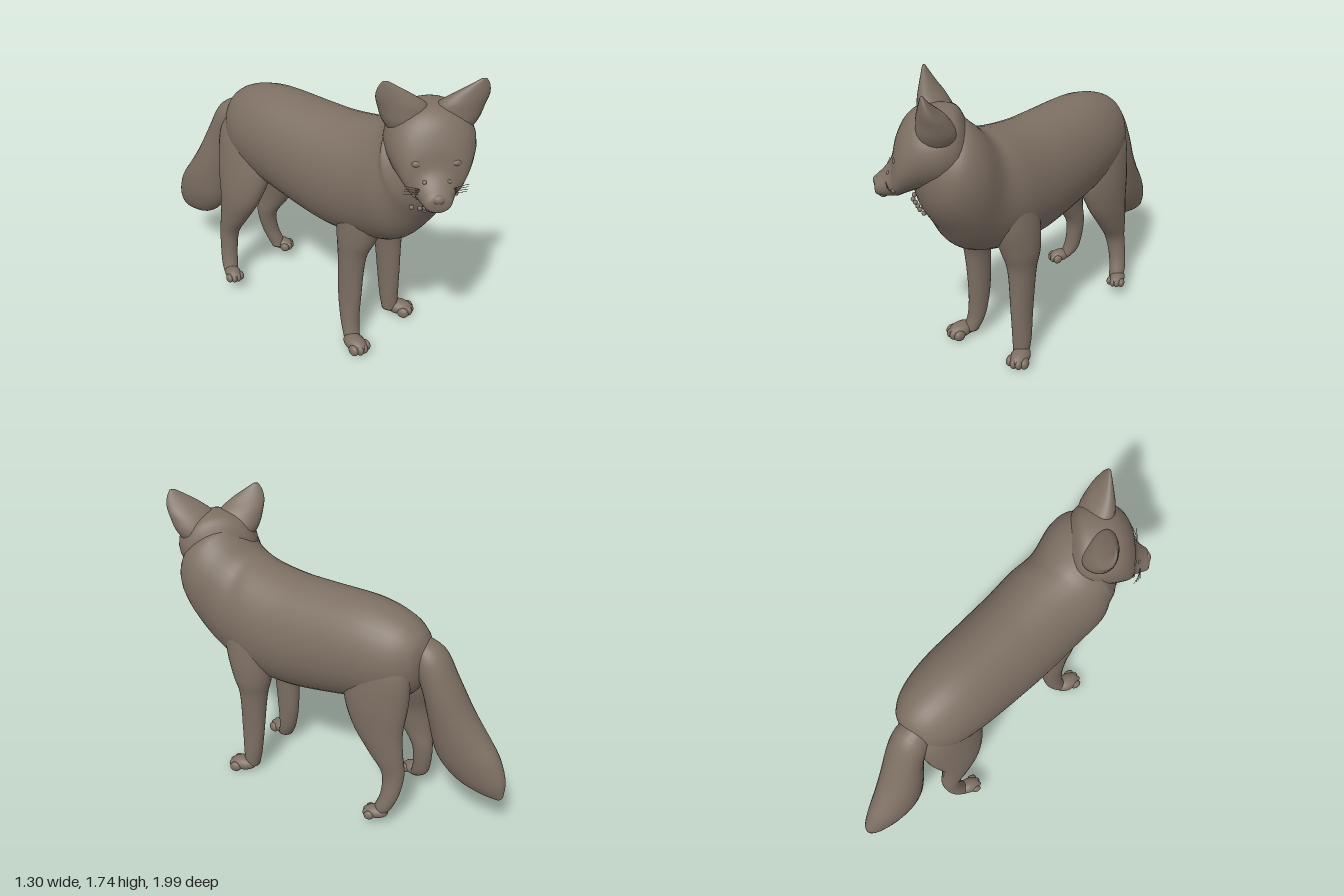
import * as THREE from 'three';

const DEG = Math.PI / 180;
const fur = new THREE.MeshStandardMaterial({ color: 0x7d6f63 });
fur.name = 'brown fur';

// Smooth skin through elliptical rings [x, y, z, halfWidth, halfHeight, yaw, pitch].
// Pitch 0 stacks rings along +z, pitch 90 stacks them upward.
function loft(name, rings, steps = 5, sides = 28) {
  const n = (rings.length - 1) * steps + 1;
  const pos = [], index = [];
  const at = (i, k) => rings[Math.max(0, Math.min(rings.length - 1, i))][k];
  const spline = (i, t, k) => {
    const a = at(i - 1, k), b = at(i, k), c = at(i + 1, k), d = at(i + 2, k);
    return b + 0.5 * t * (c - a + t * (2 * a - 5 * b + 4 * c - d + t * (3 * (b - c) + d - a)));
  };
  const centres = [];
  for (let r = 0; r < n; r++) {
    const i = Math.min(Math.floor(r / steps), rings.length - 2), t = r / steps - i;
    const [x, y, z, w, h, yaw, pitch] = [0, 1, 2, 3, 4, 5, 6].map(k => spline(i, t, k));
    const cy = Math.cos(yaw * DEG), sy = Math.sin(yaw * DEG);
    const cp = Math.cos(pitch * DEG), sp = Math.sin(pitch * DEG);
    centres.push([x, y, z]);
    for (let j = 0; j < sides; j++) {
      const a = j / sides * Math.PI * 2, u = Math.cos(a) * w, v = Math.sin(a) * h;
      pos.push(x + u * cy - v * sp * sy, y + v * cp, z - u * sy - v * sp * cy);
    }
  }
  for (let r = 0; r < n - 1; r++) for (let j = 0; j < sides; j++) {
    const k = (j + 1) % sides, a = r * sides + j, b = r * sides + k;
    index.push(a, b, b + sides, a, b + sides, a + sides);
  }
  // end caps
  pos.push(...centres[0], ...centres[n - 1]);
  const first = n * sides, last = (n - 1) * sides;
  for (let j = 0; j < sides; j++) {
    const k = (j + 1) % sides;
    index.push(first, k, j, first + 1, last + j, last + k);
  }
  const g = new THREE.BufferGeometry();
  g.setAttribute('position', new THREE.Float32BufferAttribute(pos, 3));
  g.setIndex(index);
  g.computeVertexNormals();
  const m = new THREE.Mesh(g, fur);
  m.name = name;
  return m;
}

function ball(name, x, y, z, rx, ry = rx, rz = rx) {
  const m = new THREE.Mesh(new THREE.SphereGeometry(1, 16, 12), fur);
  m.name = name;
  m.position.set(x, y, z);
  m.scale.set(rx, ry, rz);
  return m;
}

function makePaw(name, x, y, z, yaw, size) {
  const paw = new THREE.Group();
  paw.name = name;
  paw.add(ball('pad', 0, 0.045, 0.035, 0.056, 0.045, 0.085));
  for (let i = 0; i < 4; i++) {
    const u = i - 1.5;
    paw.add(ball('toe', u * 0.03, 0.033, 0.1 - Math.abs(u) * 0.015, 0.023, 0.033, 0.036));
  }
  paw.position.set(x, y, z);
  paw.rotation.y = yaw * DEG;
  paw.scale.setScalar(size);
  return paw;
}

// Rings of a leg from the ankle upward: [x, y, z, halfWidth, halfDepth]
const makeLeg = (name, rings) => loft(name, rings.map(r => [...r, 30, 90]));

function makeHead() {
  const head = new THREE.Group();
  head.name = 'head';
  head.add(loft('skull', [
    [0, 1.40, -0.18, 0.12, 0.10], [0, 1.41, -0.13, 0.20, 0.18],
    [0, 1.405, -0.04, 0.235, 0.205], [0, 1.39, 0.06, 0.225, 0.205],
    [0, 1.35, 0.13, 0.195, 0.188], [0, 1.29, 0.18, 0.155, 0.15],
    [0, 1.235, 0.208, 0.11, 0.1], [0, 1.205, 0.25, 0.085, 0.07],
    [0, 1.19, 0.293, 0.062, 0.045], [0, 1.19, 0.302, 0.02, 0.015],
  ].map(r => [...r, 0, 0])));
  head.add(ball('nose', 0, 1.215, 0.285, 0.036, 0.026, 0.024));
  head.add(ball('lowerLip', 0, 1.148, 0.258, 0.055, 0.018, 0.028));
  for (const s of [-1, 1]) {
    // ears, broad where they grow out of the skull
    head.add(loft('ear', [
      [0.08, 1.38, -0.04, 0.07, 0.07], [0.125, 1.5, -0.03, 0.115, 0.1],
      [0.145, 1.59, -0.01, 0.128, 0.078], [0.186, 1.65, 0.01, 0.1, 0.046],
      [0.222, 1.7, 0.022, 0.056, 0.022], [0.242, 1.735, 0.028, 0.016, 0.008],
    ].map(([x, y, z, w, d]) => [s * x, y, z, w, d, s * 8, 90])));
    head.add(ball('eye', s * 0.098, 1.36, 0.177, 0.028, 0.02, 0.02));
    head.add(ball('cheekBead', s * 0.06, 1.278, 0.222, 0.013));
    head.add(ball('cheekBead', s * 0.105, 1.2, 0.2, 0.013));
    // whiskers
    for (let i = 0; i < 4; i++) {
      const curve = new THREE.QuadraticBezierCurve3(
        new THREE.Vector3(s * 0.08, 1.22 + i * 0.008, 0.235),
        new THREE.Vector3(s * 0.12, 1.225 + i * 0.012, 0.235),
        new THREE.Vector3(s * 0.16, 1.205 + i * 0.02, 0.2 + i * 0.01));
      const w = new THREE.Mesh(new THREE.TubeGeometry(curve, 6, 0.0015, 4), fur);
      w.name = 'whisker';
      head.add(w);
    }
  }
  head.position.set(0.37, 0, 0.7);
  head.rotation.y = -14 * DEG;
  return head;
}

export function createModel() {
  const model = new THREE.Group();
  model.name = 'fox';

  // torso: [distance along spine, top, bottom, halfWidth]
  const torso = [
    [-0.67, 1.2, 1.0, 0.06], [-0.63, 1.265, 0.9, 0.14], [-0.52, 1.33, 0.81, 0.21],
    [-0.32, 1.37, 0.76, 0.25], [0, 1.365, 0.69, 0.268], [0.2, 1.365, 0.665, 0.275],
    [0.4, 1.39, 0.68, 0.28],
  ].map(([s, top, bot, w]) =>
    [s * 0.5 + 0.016, (top + bot) / 2, s * 0.866 - 0.009, w, (top - bot) / 2, 30, 0]);
  // chest and neck turn up toward the head
  torso.push(
    [0.295, 1.09, 0.505, 0.275, 0.335, 30, 14], [0.367, 1.215, 0.6, 0.275, 0.295, 19, 20],
    [0.378, 1.3, 0.665, 0.26, 0.262, 6, 25], [0.37, 1.36, 0.73, 0.18, 0.18, -6, 28]);
  model.add(loft('bodyAndNeck', torso, 6, 36));
  model.add(makeHead());

  // beads on the throat
  for (const [x, y, z] of [[0.25, 1.075, 0.785], [0.29, 1.07, 0.8], [0.32, 1.065, 0.795],
    [0.325, 1.045, 0.785], [0.38, 1.05, 0.785], [0.38, 1.025, 0.765]])
    model.add(ball('throatBead', x, y, z, 0.013));

  // front legs, shoulders sinking into the chest
  model.add(makeLeg('rightFrontLeg', [
    [0.07, 0.04, 0.46, 0.047, 0.047], [0.07, 0.14, 0.42, 0.053, 0.057],
    [0.072, 0.32, 0.4, 0.056, 0.075], [0.079, 0.58, 0.405, 0.07, 0.088],
    [0.105, 0.72, 0.41, 0.1, 0.125], [0.135, 0.9, 0.41, 0.115, 0.155], [0.165, 1.08, 0.38, 0.1, 0.15],
    [0.21, 1.22, 0.36, 0.05, 0.08],
  ]));
  model.add(makeLeg('leftFrontLeg', [
    [0.395, 0.04, 0.25, 0.047, 0.047], [0.39, 0.14, 0.242, 0.053, 0.06],
    [0.381, 0.32, 0.238, 0.056, 0.075], [0.371, 0.58, 0.232, 0.076, 0.09],
    [0.37, 0.72, 0.24, 0.105, 0.125], [0.367, 0.9, 0.265, 0.115, 0.155], [0.35, 1.08, 0.275, 0.1, 0.15],
    [0.3, 1.22, 0.3, 0.05, 0.08],
  ]));
  model.add(makePaw('rightFrontPaw', 0.056, 0, 0.485, 18, 1));
  model.add(makePaw('leftFrontPaw', 0.42, 0, 0.25, 50, 1));

  // hind legs with raised heels
  model.add(makeLeg('rightHindLeg', [
    [-0.465, 0.1, -0.35, 0.042, 0.042], [-0.46, 0.15, -0.39, 0.049, 0.052],
    [-0.455, 0.24, -0.413, 0.051, 0.056], [-0.445, 0.37, -0.415, 0.056, 0.066],
    [-0.42, 0.5, -0.37, 0.068, 0.1], [-0.385, 0.66, -0.33, 0.088, 0.15],
    [-0.345, 0.85, -0.35, 0.11, 0.2], [-0.32, 1.06, -0.385, 0.095, 0.19], [-0.285, 1.22, -0.4, 0.04, 0.1],
  ]));
  model.add(makeLeg('leftHindLeg', [
    [-0.085, 0.1, -0.56, 0.042, 0.042], [-0.1, 0.15, -0.577, 0.049, 0.052],
    [-0.132, 0.24, -0.588, 0.051, 0.056], [-0.152, 0.37, -0.575, 0.056, 0.07],
    [-0.12, 0.5, -0.535, 0.068, 0.11], [-0.09, 0.66, -0.48, 0.088, 0.16],
    [-0.092, 0.85, -0.45, 0.11, 0.2], [-0.11, 1.06, -0.46, 0.095, 0.175], [-0.14, 1.22, -0.455, 0.04, 0.1],
  ]));
  model.add(makePaw('rightHindPaw', -0.465, 0.07, -0.345, 8, 0.85));
  model.add(makePaw('leftHindPaw', -0.082, 0.07, -0.58, 50, 0.85));

  // bushy tail, from tip to root
  model.add(loft('tail', [
    [-0.622, 0.31, -0.975, 0.012, 0.02, 30, 45], [-0.598, 0.37, -0.925, 0.055, 0.095, 30, 45],
    [-0.55, 0.457, -0.833, 0.095, 0.16, 30, 48], [-0.495, 0.578, -0.745, 0.12, 0.172, 30, 55],
    [-0.442, 0.76, -0.685, 0.125, 0.135, 30, 62], [-0.39, 0.95, -0.638, 0.115, 0.108, 30, 58],
    [-0.345, 1.1, -0.575, 0.105, 0.1, 30, 45], [-0.28, 1.17, -0.48, 0.07, 0.07, 30, 25],
  ]));

  return model;
}
